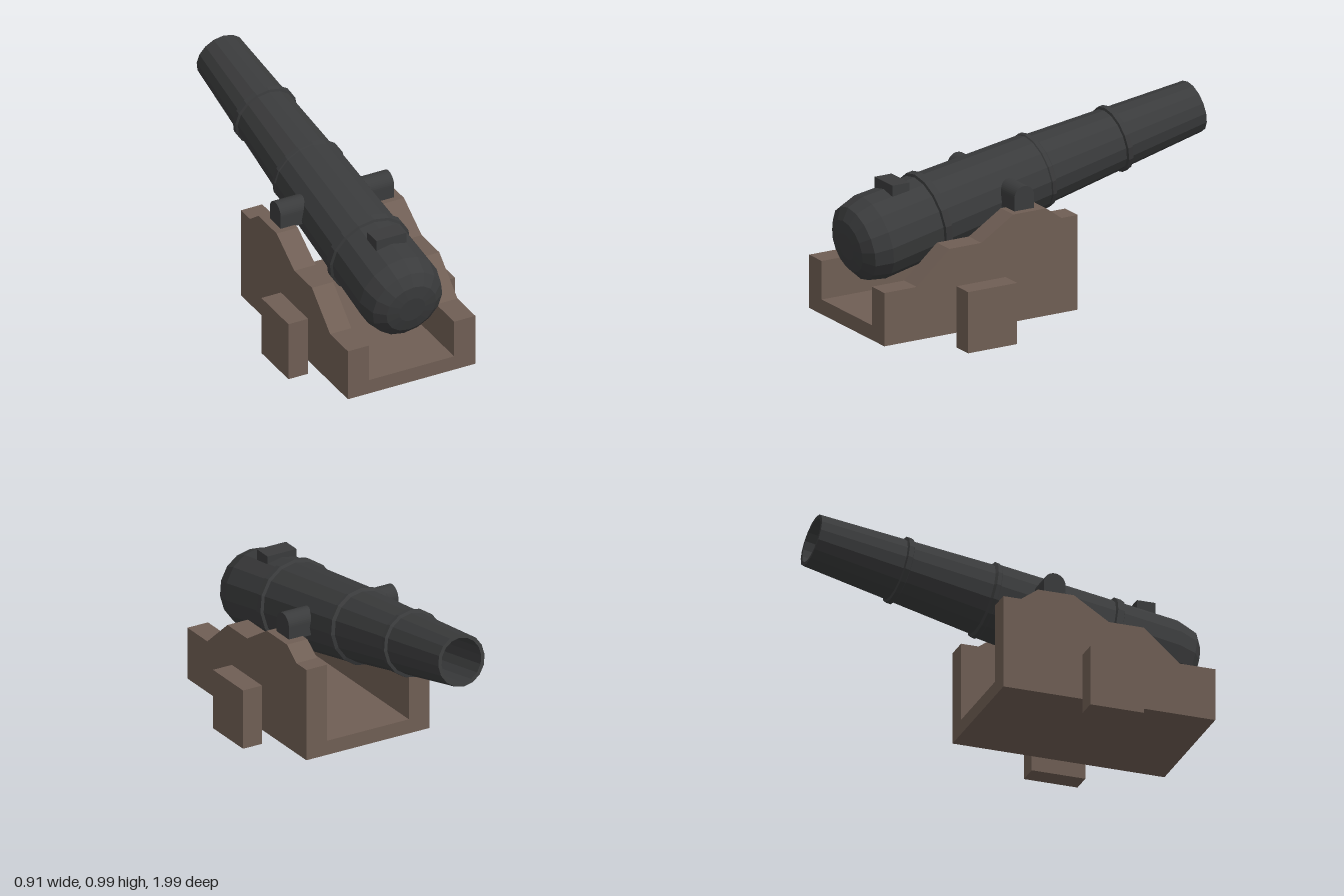
import * as THREE from 'three';

const iron = new THREE.MeshStandardMaterial({ color: 0x3a3b3c, flatShading: true });
const wood = new THREE.MeshStandardMaterial({ color: 0x6f5e54, flatShading: true });

function add(parent, name, geometry, material, x = 0, y = 0, z = 0) {
  const mesh = new THREE.Mesh(geometry, material);
  mesh.name = name;
  mesh.position.set(x, y, z);
  parent.add(mesh);
  return mesh;
}

// Extrudes a (z, y) outline along x, centred on x = 0
function extrudeAcross(shape, width) {
  const geometry = new THREE.ExtrudeGeometry(shape, { depth: width, bevelEnabled: false, curveSegments: 10 });
  geometry.translate(0, 0, -width / 2);
  return geometry.rotateY(-Math.PI / 2);
}

export function createModel() {
  const model = new THREE.Group();
  model.name = 'cannon';

  // Barrel: [radius, distance back from the muzzle], from breech to muzzle and into the bore
  const profile = [
    [0, 1.99], [0.07, 1.99], [0.135, 1.98], [0.19, 1.94], [0.214, 1.85],
    [0.206, 1.555], [0.219, 1.55], [0.219, 1.515], [0.204, 1.51],
    [0.187, 0.925], [0.192, 0.92], [0.192, 0.9], [0.177, 0.89],
    [0.156, 0.475], [0.168, 0.47], [0.168, 0.445], [0.153, 0.44],
    [0.131, 0], [0.112, 0], [0.112, 0.9], [0, 0.9],
  ].map(([r, s]) => new THREE.Vector2(r, -s));
  const barrel = add(model, 'barrel', new THREE.LatheGeometry(profile, 16), iron, 0, 0.863, -0.97);
  barrel.rotation.x = -1.379;

  // Trunnions: one round-topped bar through the barrel
  const arch = new THREE.Shape();
  arch.moveTo(0.109, 0.612);
  arch.lineTo(0.221, 0.612);
  arch.lineTo(0.221, 0.682);
  arch.absarc(0.165, 0.682, 0.056, 0, Math.PI, false);
  add(model, 'trunnions', extrudeAcross(arch, 0.62), iron);

  // Vent block on top of the breech
  add(model, 'ventBlock', new THREE.BoxGeometry(0.164, 0.07, 0.096), iron, 0, 0.744, 0.722);

  // Carriage: stepped cheeks, floor and side blocks
  const carriage = new THREE.Group();
  carriage.name = 'carriage';
  model.add(carriage);
  const cheek = new THREE.Shape([
    [-0.113, 0.075], [0.977, 0.075], [0.977, 0.345], [0.795, 0.345], [0.61, 0.506],
    [0.43, 0.506], [0.25, 0.619], [0.065, 0.619], [-0.022, 0.555], [-0.113, 0.555],
  ].map(([z, y]) => new THREE.Vector2(z, y)));
  const cheekGeometry = extrudeAcross(cheek, 0.116);
  const blockGeometry = new THREE.BoxGeometry(0.107, 0.31, 0.276);
  for (const [label, side] of [['left', 1], ['right', -1]]) {
    add(carriage, label + 'Cheek', cheekGeometry, wood, side * 0.29);
    add(carriage, label + 'SideBlock', blockGeometry, wood, side * 0.4015, 0.155, 0.432);
  }
  add(carriage, 'floor', new THREE.BoxGeometry(0.464, 0.075, 1.09), wood, 0, 0.1125, 0.432);

  return model;
}
